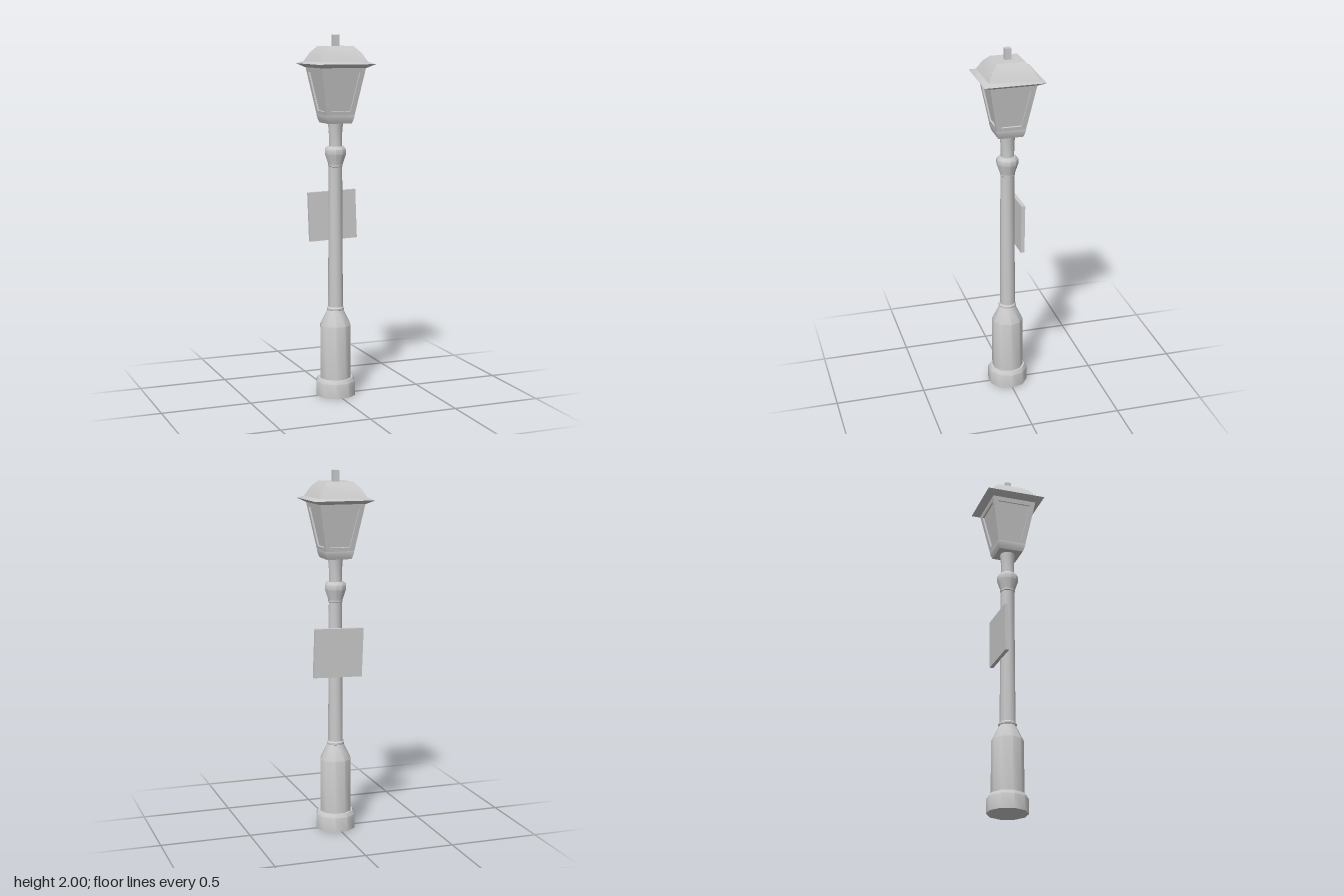
import * as THREE from 'three';
import { toCreasedNormals } from 'three/addons/utils/BufferGeometryUtils.js';

const material = new THREE.MeshStandardMaterial({ color: 0xcccccc });

function addMesh(parent, name, geometry) {
  const mesh = new THREE.Mesh(toCreasedNormals(geometry, 0.68), material);
  mesh.name = name;
  parent.add(mesh);
  return mesh;
}

// Turned part with ten sides, corners on the x axis
function turned(profile) {
  return new THREE.LatheGeometry(profile.map(([r, y]) => new THREE.Vector2(r, y)), 10, Math.PI / 2);
}

// Square part: profile gives [half width, height]
function square(profile) {
  const points = profile.map(([h, y]) => new THREE.Vector2(h * Math.SQRT2, y));
  return new THREE.LatheGeometry(points, 4, Math.PI / 4);
}

// One lantern side: sloping frame, recess walls and pane, facing +z
function lanternSide() {
  const y0 = 1.57, y1 = 1.828, h0 = 0.08, h1 = 0.127;
  const depth = (y) => h0 + (h1 - h0) * (y - y0) / (y1 - y0);
  const loop = (hb, yb, ht, yt) => [[-hb, yb], [hb, yb], [ht, yt], [-ht, yt]]
    .map(([x, y]) => new THREE.Vector3(x, y, depth(y)));
  const inward = new THREE.Vector3(0, h1 - h0, -(y1 - y0)).setLength(0.01);
  const outer = loop(h0, y0, h1, y1);
  const inner = loop(0.055, 1.59, 0.095, 1.8);
  const pane = inner.map((p) => p.clone().add(inward));
  const triangles = [];
  const quad = (a, b, c, d) => triangles.push(a, b, c, a, c, d);
  for (const [a, b] of [[outer, inner], [inner, pane]]) {
    for (let i = 0; i < 4; i++) {
      const j = (i + 1) % 4;
      quad(a[i], a[j], b[j], b[i]);
    }
  }
  quad(...pane);
  return new THREE.BufferGeometry().setFromPoints(triangles);
}

export function createModel() {
  const lamp = new THREE.Group();
  lamp.name = 'streetLamp';

  // Post
  addMesh(lamp, 'plinth', turned([[0, 0], [0.112, 0], [0.112, 0.08], [0.1, 0.1], [0.088, 0.1]]));
  addMesh(lamp, 'pedestal', turned([[0.088, 0.098], [0.088, 0.4], [0.046, 0.485]]));
  addMesh(lamp, 'lowerRing', turned([[0.042, 0.482], [0.05, 0.487], [0.05, 0.497], [0.042, 0.505]]));
  addMesh(lamp, 'shaft', turned([[0.043, 0.5], [0.038, 1.29]]));
  addMesh(lamp, 'collar', turned([
    [0.036, 1.283], [0.041, 1.288], [0.041, 1.3], [0.06, 1.355],
    [0.06, 1.382], [0.047, 1.398], [0.036, 1.398],
  ]));
  addMesh(lamp, 'neck', turned([[0.037, 1.395], [0.037, 1.46], [0.043, 1.527]]));

  // Lantern
  const lantern = new THREE.Group();
  lantern.name = 'lantern';
  lamp.add(lantern);
  addMesh(lantern, 'lanternBase', square([
    [0, 1.525], [0.068, 1.525], [0.074, 1.54], [0.08, 1.562], [0.08, 1.57], [0, 1.57],
  ]));
  for (let i = 0; i < 4; i++) {
    addMesh(lantern, 'lanternSide', lanternSide()).rotation.y = i * Math.PI / 2;
  }
  addMesh(lantern, 'roof', square([
    [0, 1.825], [0.13, 1.825], [0.167, 1.845], [0.135, 1.857],
    [0.108, 1.905], [0.075, 1.94], [0, 1.94],
  ]));
  const finial = addMesh(lantern, 'finial', new THREE.BoxGeometry(0.034, 0.07, 0.034));
  finial.position.y = 1.965;

  // Slightly crooked board on the back of the post
  const board = addMesh(lamp, 'signBoard', new THREE.BoxGeometry(0.278, 0.272, 0.021));
  board.position.set(0, 1.01, -0.049);
  board.rotation.set(-0.02, 0, 0.03);

  return lamp;
}
